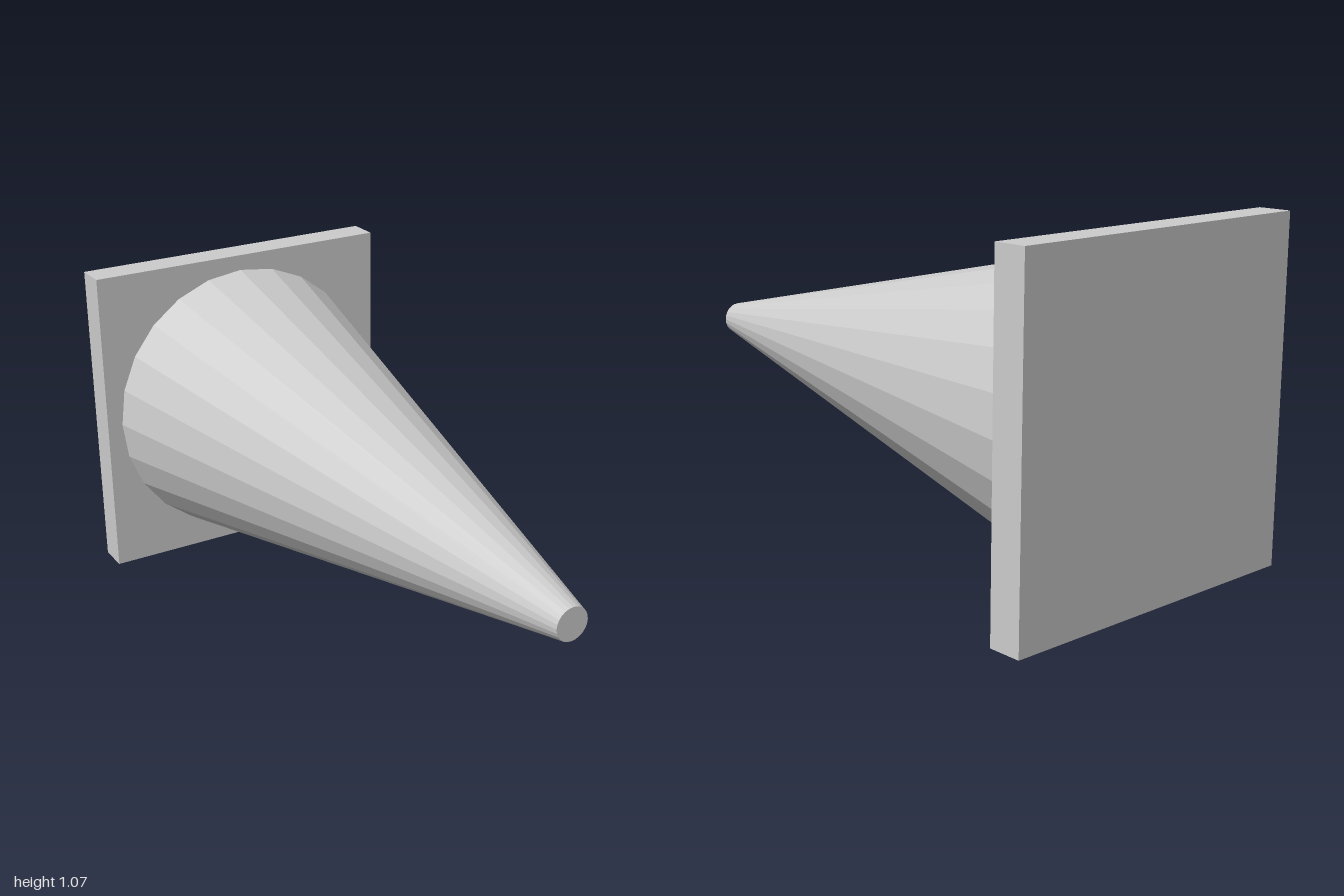
import * as THREE from 'three';

export function createModel() {
  const model = new THREE.Group();
  model.name = 'trafficCone';
  const grey = new THREE.MeshStandardMaterial({ color: 0xcccccc, flatShading: true });
  grey.name = 'light grey';

  const size = 1.066, thickness = 0.105, centreY = size / 2;
  const baseFront = -1 + thickness;

  // Square base plate, standing upright at the back
  const base = new THREE.Mesh(new THREE.BoxGeometry(size, size, thickness), grey);
  base.name = 'basePlate';
  base.position.set(0, centreY, -1 + thickness / 2);
  model.add(base);

  // Tapered 24-sided body pointing forward
  const length = 1 - baseFront;
  const body = new THREE.Mesh(new THREE.CylinderGeometry(0.053, 0.48, length, 24), grey);
  body.name = 'coneBody';
  body.rotation.x = Math.PI / 2;
  body.position.set(0, centreY, baseFront + length / 2);
  model.add(body);

  return model;
}
